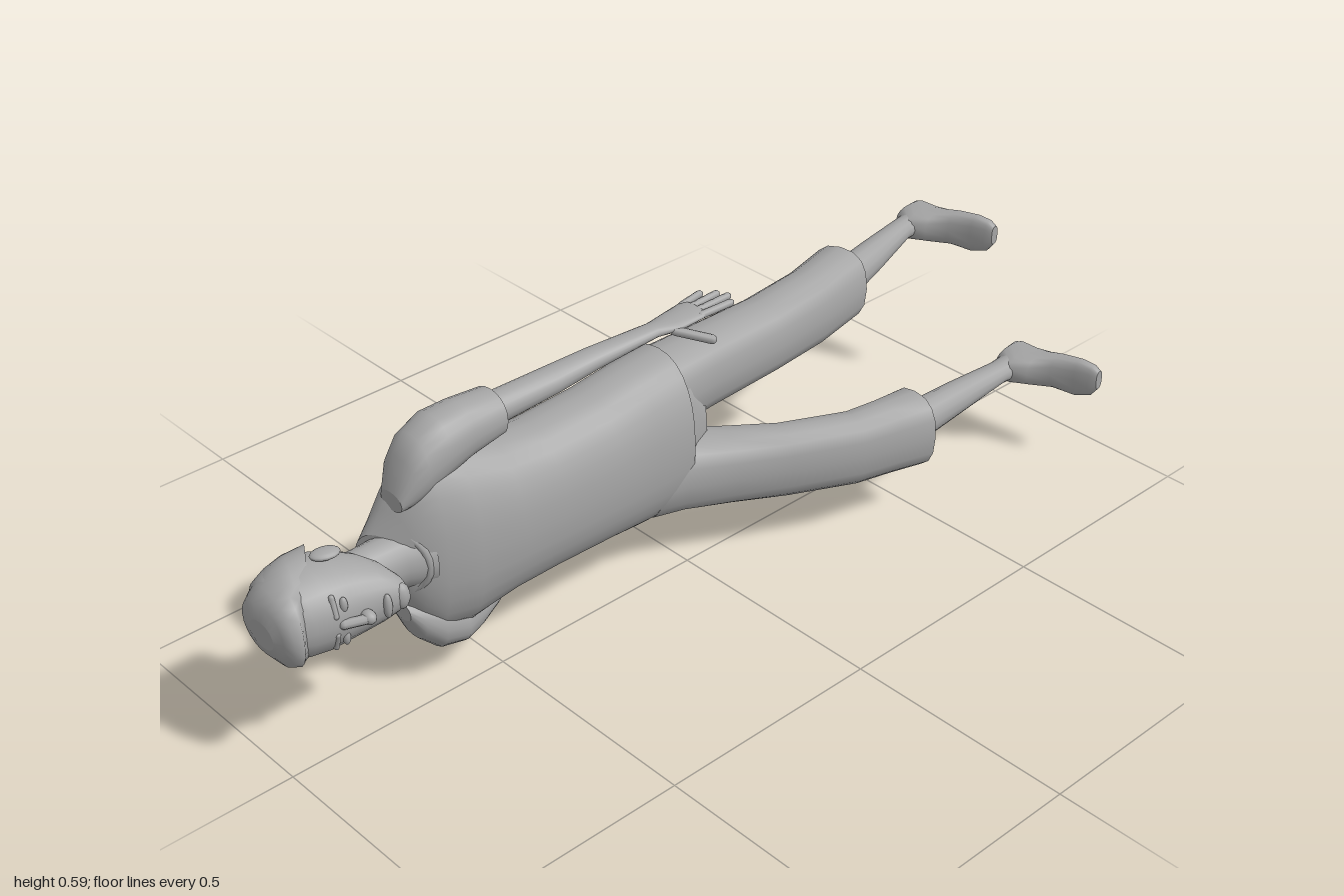
import * as THREE from 'three';

const grey = new THREE.MeshStandardMaterial({ color: 0xa6a6a6, side: THREE.DoubleSide });
grey.name = 'plain grey';

// Skin through rounded rings. Section: [station, a0, a1, y0, y1, slope].
// Along z the stations descend and a is x; along x they ascend and a is z.
function loft(sections, { n = 20, power = 2, axis = 'z' } = {}) {
  const pos = [], index = [], m = sections.length;
  const round = (v) => Math.sign(v) * Math.abs(v) ** (2 / power);
  const ring = ([s, a0, a1, y0, y1, slope = 0]) => {
    for (let i = 0; i < n; i++) {
      const t = (i / n) * Math.PI * 2;
      const da = round(Math.cos(t)) * (a1 - a0) / 2, a = (a0 + a1) / 2 + da;
      const y = (y0 + y1) / 2 + round(Math.sin(t)) * (y1 - y0) / 2;
      const st = s + slope * da;
      pos.push(...(axis === 'z' ? [a, y, st] : [st, y, a]));
    }
  };
  sections.forEach(ring);
  for (let k = 0; k < m - 1; k++) for (let i = 0; i < n; i++) {
    const a = k * n + i, b = k * n + (i + 1) % n;
    index.push(a, a + n, b, b, a + n, b + n);
  }
  // end caps on their own vertices keep the rims sharp
  [sections[0], sections[m - 1]].forEach((s, e) => {
    const o = (m + e) * n;
    ring(s);
    for (let i = 1; i < n - 1; i++) index.push(o, o + i + (e ? 1 : 0), o + i + (e ? 0 : 1));
  });
  const g = new THREE.BufferGeometry();
  g.setAttribute('position', new THREE.Float32BufferAttribute(pos, 3));
  g.setIndex(index);
  g.computeVertexNormals();
  return g;
}

export function createModel() {
  const model = new THREE.Group();
  model.name = 'recliningMan';
  const add = (name, geometry) => {
    const mesh = new THREE.Mesh(geometry, grey);
    mesh.name = name;
    model.add(mesh);
    return mesh;
  };
  const blob = (name, p, s) => {
    const mesh = add(name, new THREE.SphereGeometry(1, 14, 10));
    mesh.position.set(...p);
    mesh.scale.set(...s);
    return mesh;
  };
  const digit = (name, from, to, r) => {
    const a = new THREE.Vector3(...from), b = new THREE.Vector3(...to), d = b.clone().sub(a);
    const mesh = add(name, new THREE.CapsuleGeometry(r, d.length() - r, 3, 8));
    mesh.position.copy(a).add(b).multiplyScalar(0.5);
    mesh.quaternion.setFromUnitVectors(new THREE.Vector3(0, 1, 0), d.normalize());
  };

  // Head, facing +x with its crown at +z
  add('head', loft([
    [0.995, -0.08, -0.02, 0.285, 0.335], [0.985, -0.115, 0.0, 0.26, 0.36],
    [0.96, -0.145, 0.015, 0.235, 0.388], [0.93, -0.158, 0.024, 0.223, 0.398],
    [0.89, -0.162, 0.032, 0.22, 0.4], [0.85, -0.155, 0.034, 0.225, 0.395],
    [0.81, -0.138, 0.038, 0.234, 0.385], [0.78, -0.11, 0.042, 0.245, 0.375],
    [0.755, -0.075, 0.044, 0.26, 0.36], [0.737, -0.03, 0.042, 0.28, 0.34],
    [0.731, 0.0, 0.034, 0.295, 0.325],
  ], { n: 24, power: 2.15 }));
  // Hair: cap with its lower edge swept down at the back, and a jutting fringe
  add('hair', loft([
    [1.0, -0.085, -0.01, 0.28, 0.335], [0.992, -0.12, 0.01, 0.257, 0.365],
    [0.973, -0.14, 0.035, 0.236, 0.385, 0.12], [0.945, -0.158, 0.038, 0.222, 0.4, 0.2],
    [0.915, -0.166, 0.022, 0.215, 0.405, 0.4], [0.87, -0.165, 0.0, 0.218, 0.402, 0.6],
  ], { n: 24, power: 2.15 }));
  blob('nose', [0.043, 0.31, 0.83], [0.018, 0.014, 0.014]);
  digit('noseBridge', [0.03, 0.31, 0.88], [0.048, 0.31, 0.833], 0.01);
  blob('lips', [0.041, 0.31, 0.785], [0.009, 0.027, 0.009]);
  blob('chin', [0.033, 0.31, 0.748], [0.015, 0.028, 0.017]);
  for (const s of [1, -1]) {
    blob('eye', [0.024, 0.31 + s * 0.036, 0.868], [0.008, 0.017, 0.008]);
    digit('eyebrow', [0.028, 0.31 + s * 0.018, 0.888], [0.014, 0.31 + s * 0.058, 0.886], 0.006);
    const ear = blob('ear', [-0.062, 0.31 + s * 0.092, 0.842], [0.02, 0.009, 0.03]);
    ear.rotation.y = -0.25;
  }
  add('neck', loft([
    [0.82, -0.12, 0.0, 0.255, 0.365], [0.75, -0.115, -0.025, 0.255, 0.365],
    [0.69, -0.118, -0.015, 0.25, 0.37], [0.64, -0.12, 0.008, 0.24, 0.38],
  ]));

  // Shirt
  add('shirt', loft([
    [0.715, -0.125, -0.035, 0.25, 0.37, -0.5], [0.69, -0.135, -0.018, 0.205, 0.415, -0.3],
    [0.665, -0.145, -0.005, 0.16, 0.465, -0.15], [0.62, -0.163, 0.012, 0.11, 0.515],
    [0.55, -0.178, 0.027, 0.105, 0.5], [0.45, -0.183, 0.034, 0.128, 0.472],
    [0.35, -0.18, 0.038, 0.135, 0.465], [0.2, -0.186, 0.037, 0.13, 0.47],
    [0.1, -0.19, 0.032, 0.12, 0.48], [0, -0.196, 0.025, 0.114, 0.486],
  ], { n: 28, power: 2.3 }));
  const collar = add('collar', new THREE.TorusGeometry(0.066, 0.008, 6, 24));
  collar.position.set(-0.06, 0.31, 0.688);
  collar.rotation.y = 0.55;
  add('leftSleeve', loft([
    [0.685, -0.1, -0.035, 0.42, 0.46], [0.66, -0.12, -0.02, 0.42, 0.525],
    [0.63, -0.13, -0.012, 0.43, 0.562], [0.58, -0.135, -0.01, 0.45, 0.583],
    [0.52, -0.128, -0.014, 0.47, 0.586], [0.44, -0.122, -0.02, 0.485, 0.58],
  ], { power: 2.2 }));
  add('rightSleeve', loft([
    [0.685, -0.1, -0.035, 0.17, 0.21], [0.66, -0.12, -0.018, 0.115, 0.21],
    [0.62, -0.135, -0.008, 0.075, 0.2], [0.56, -0.148, -0.015, 0.055, 0.17],
    [0.5, -0.17, -0.045, 0.047, 0.15], [0.43, -0.193, -0.085, 0.045, 0.135],
  ], { power: 2.2 }));

  // Arms and hands
  add('leftArm', loft([
    [0.46, -0.107, -0.035, 0.5, 0.567], [0.3, -0.098, -0.032, 0.515, 0.57],
    [0.2, -0.085, -0.028, 0.533, 0.576], [0.06, -0.058, -0.014, 0.558, 0.584],
    [0.02, -0.062, 0.004, 0.562, 0.587], [-0.04, -0.066, 0.008, 0.57, 0.59],
    [-0.05, -0.06, 0.002, 0.574, 0.588],
  ]));
  add('rightArm', loft([
    [0.46, -0.17, -0.105, 0.06, 0.125], [0.3, -0.217, -0.152, 0.045, 0.102],
    [0.2, -0.243, -0.187, 0.032, 0.08], [0.06, -0.278, -0.234, 0.018, 0.044],
    [0.02, -0.296, -0.23, 0.014, 0.038], [-0.035, -0.316, -0.243, 0.01, 0.032],
    [-0.045, -0.31, -0.25, 0.012, 0.028],
  ]));
  for (let i = 0; i < 4; i++) {
    const reach = [0.045, 0.07, 0.08, 0.066][i];
    digit('leftFinger', [-0.057 + i * 0.018, 0.58, -0.035], [-0.066 + i * 0.023, 0.582, -0.053 - reach], 0.008);
    digit('rightFinger', [-0.306 + i * 0.018, 0.018 + i * 0.003, -0.03], [-0.335 + i * 0.022, 0.01 + i * 0.004, -0.035 - reach], 0.008);
  }
  digit('leftThumb', [-0.01, 0.57, 0.03], [0.052, 0.553, -0.025], 0.01);
  digit('rightThumb', [-0.25, 0.032, 0.02], [-0.203, 0.036, -0.06], 0.01);

  // Trousers
  const cut = { n: 16, power: 2.5 };
  add('trouserSeat', loft([
    [0.05, -0.17, 0.01, 0.13, 0.47], [-0.02, -0.165, 0.005, 0.135, 0.465],
    [-0.07, -0.14, -0.015, 0.2, 0.4],
  ], cut));
  add('leftTrouserLeg', loft([
    [0.08, -0.168, 0.0, 0.3, 0.47], [0, -0.165, -0.008, 0.302, 0.477],
    [-0.1, -0.163, -0.015, 0.308, 0.477], [-0.3, -0.162, -0.024, 0.312, 0.476],
    [-0.45, -0.172, -0.038, 0.313, 0.482], [-0.58, -0.196, -0.066, 0.316, 0.488, -0.3],
  ], cut));
  add('rightTrouserLeg', loft([
    [0.08, -0.168, 0.01, 0.125, 0.295], [0, -0.15, 0.028, 0.122, 0.295, 0.2],
    [-0.1, -0.055, 0.075, 0.124, 0.287, 0.3], [-0.2, 0.025, 0.13, 0.125, 0.286, 0.3],
    [-0.34, 0.092, 0.195, 0.122, 0.286, 0.2], [-0.42, 0.1, 0.215, 0.118, 0.286],
    [-0.505, 0.103, 0.234, 0.11, 0.286],
  ], cut));

  // Lower legs
  add('leftCalf', loft([
    [-0.54, -0.165, -0.08, 0.355, 0.45], [-0.62, -0.177, -0.095, 0.357, 0.447],
    [-0.72, -0.203, -0.128, 0.364, 0.438], [-0.87, -0.238, -0.182, 0.375, 0.424],
    [-0.94, -0.25, -0.18, 0.372, 0.426],
  ], { n: 14 }));
  add('rightCalf', loft([
    [-0.46, 0.122, 0.205, 0.155, 0.248], [-0.55, 0.122, 0.202, 0.158, 0.245],
    [-0.66, 0.122, 0.193, 0.166, 0.238], [-0.8, 0.125, 0.182, 0.178, 0.227],
    [-0.88, 0.117, 0.185, 0.174, 0.23],
  ], { n: 14 }));

  // Feet: heel to toe, soles toward -z
  const foot = loft([
    [-0.257, -0.985, -0.95, 0.378, 0.42], [-0.245, -0.992, -0.89, 0.37, 0.428],
    [-0.2, -0.993, -0.868, 0.367, 0.431], [-0.165, -0.994, -0.9, 0.363, 0.435],
    [-0.13, -0.996, -0.938, 0.36, 0.44], [-0.08, -0.998, -0.958, 0.355, 0.446],
    [-0.048, -1.0, -0.97, 0.365, 0.442], [-0.034, -1.0, -0.98, 0.385, 0.43],
  ], { n: 16, power: 2.6, axis: 'x' });
  add('leftFoot', foot);
  add('rightFoot', foot).position.set(0.37, -0.197, 0.06);

  return model;
}
